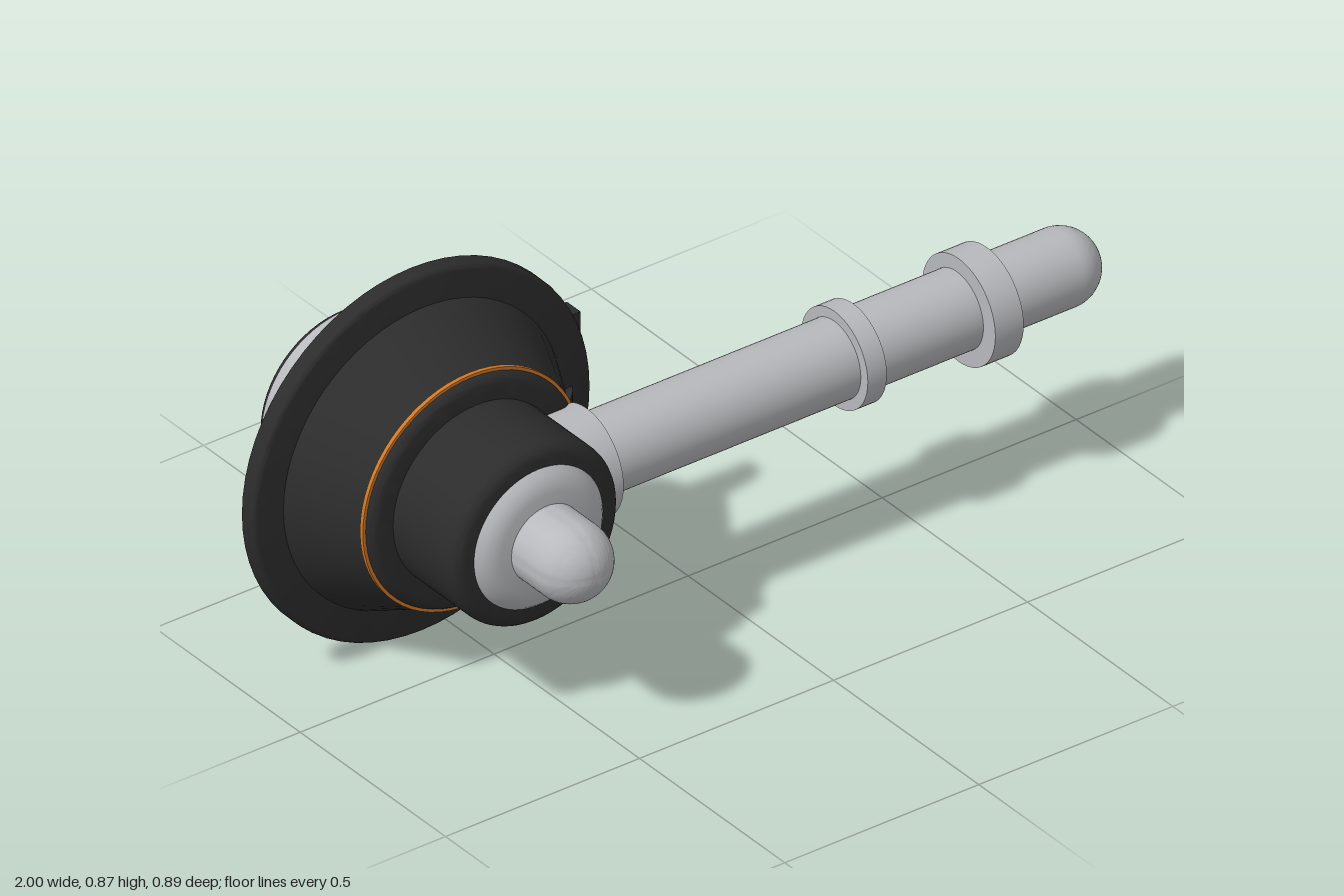
import * as THREE from 'three';
import { toCreasedNormals } from 'three/addons/utils/BufferGeometryUtils.js';

const CX = -0.568, CY = 0.436, PIPE_Z = 0.06;

export function createModel() {
  const root = new THREE.Group();
  const dark = new THREE.MeshStandardMaterial({ color: 0x2c2c2c });
  dark.name = 'charcoal';
  const silver = new THREE.MeshStandardMaterial({ color: 0xb8b9bc });
  silver.name = 'silver';
  const orange = new THREE.MeshStandardMaterial({ color: 0xd07828 });
  orange.name = 'orange';

  function add(name, geometry, material, x, y, z) {
    const mesh = new THREE.Mesh(geometry, material);
    mesh.name = name;
    mesh.position.set(x, y, z);
    root.add(mesh);
    return mesh;
  }
  // Turned profile of [radius, distance along axis], listed in rising distance
  function turned(profile, segments = 64) {
    const pts = profile.map(([r, d]) => new THREE.Vector2(r, d));
    return toCreasedNormals(new THREE.LatheGeometry(pts, segments), 0.5);
  }
  const alongZ = (name, profile, material) =>
    add(name, turned(profile).rotateX(Math.PI / 2), material, CX, CY, 0);
  const alongX = (name, profile, material, z = PIPE_Z) =>
    add(name, turned(profile, 48).rotateZ(-Math.PI / 2), material, 0, CY, z);
  // Quarter-round corner centred at (r, d), sweeping between two angles
  function arc(r, d, radius, from, to, steps = 6) {
    return Array.from({ length: steps + 1 }, (_, i) => {
      const a = from + (to - from) * i / steps;
      return [Math.max(0, r + radius * Math.cos(a)), d + radius * Math.sin(a)];
    });
  }
  const Q = Math.PI / 2;

  // Main drum
  alongZ('drum', [
    [0, -0.439], ...arc(0.195, -0.419, 0.02, -Q, 0),
    ...arc(0.185, 0.213, 0.03, 0, Q), [0, 0.243],
  ], dark);
  alongZ('rearBand', [[0.2, -0.418], [0.219, -0.418], [0.219, -0.371], [0.2, -0.371]], silver);

  // Wide flange and tapering cone
  alongZ('flange', [
    [0.2, -0.195], [0.436, -0.195], ...arc(0.424, -0.167, 0.012, 0, Q, 4), [0.2, -0.155],
  ], dark);
  alongZ('cone', [
    [0.2, -0.16], [0.359, -0.16], [0.359, -0.155], [0.276, 0.006],
    ...arc(0.25, 0.004, 0.026, 0, Q), [0.2, 0.03],
  ], dark);
  alongZ('accentRing', [[0.26, 0.004], [0.281, 0.004], [0.281, 0.014], [0.26, 0.014]], orange);

  // Front collar and round-ended nozzle
  alongZ('frontCollar', [
    [0, 0.235], [0.166, 0.235], [0.166, 0.243], [0.155, 0.256],
    [0.138, 0.267], [0.118, 0.272], [0, 0.272],
  ], silver);
  alongZ('nozzle', [[0.091, 0.26], ...arc(0, 0.353, 0.091, 0, Q, 14)], silver);

  // Six small bolts on the rear face
  for (let i = 0; i < 6; i++) {
    const a = Math.PI / 6 + i * Math.PI / 3;
    add('bolt', new THREE.CylinderGeometry(0.01, 0.01, 0.012, 16).rotateX(Q), dark,
      CX + 0.135 * Math.cos(a), CY + 0.135 * Math.sin(a), -0.438);
  }

  // Side pipe with bands and rounded tip
  alongX('pipe', [[0, -0.42], [0.091, -0.42], [0.091, 0.69], [0, 0.69]], silver);
  alongX('pipeTip', [[0.088, 0.68], ...arc(0, 0.912, 0.088, 0, Q, 14)], silver);
  const bands = [
    ['pipeSocket', -0.42, -0.31, 0.126],
    ['innerBand', 0.332, 0.381, 0.115],
    ['outerBand', 0.648, 0.721, 0.126],
  ];
  for (const [name, a, b, r] of bands) {
    alongX(name, [[0.085, a], [r, a], [r, b], [0.085, b]], silver, r > 0.12 ? 0.066 : PIPE_Z);
  }

  // Rear swivel: disc, ball and upright tab
  add('swivelDisc', new THREE.CylinderGeometry(0.114, 0.114, 0.035, 48), dark, -0.283, 0.438, -0.209);
  add('swivelLip', new THREE.CylinderGeometry(0.095, 0.095, 0.012, 48), dark, -0.283, 0.419, -0.209);
  add('swivelBall', new THREE.SphereGeometry(0.058, 32, 20), silver, -0.31, 0.433, -0.217);
  add('tab', new THREE.BoxGeometry(0.025, 0.2, 0.047), dark, -0.162, 0.517, -0.194);

  return root;
}
